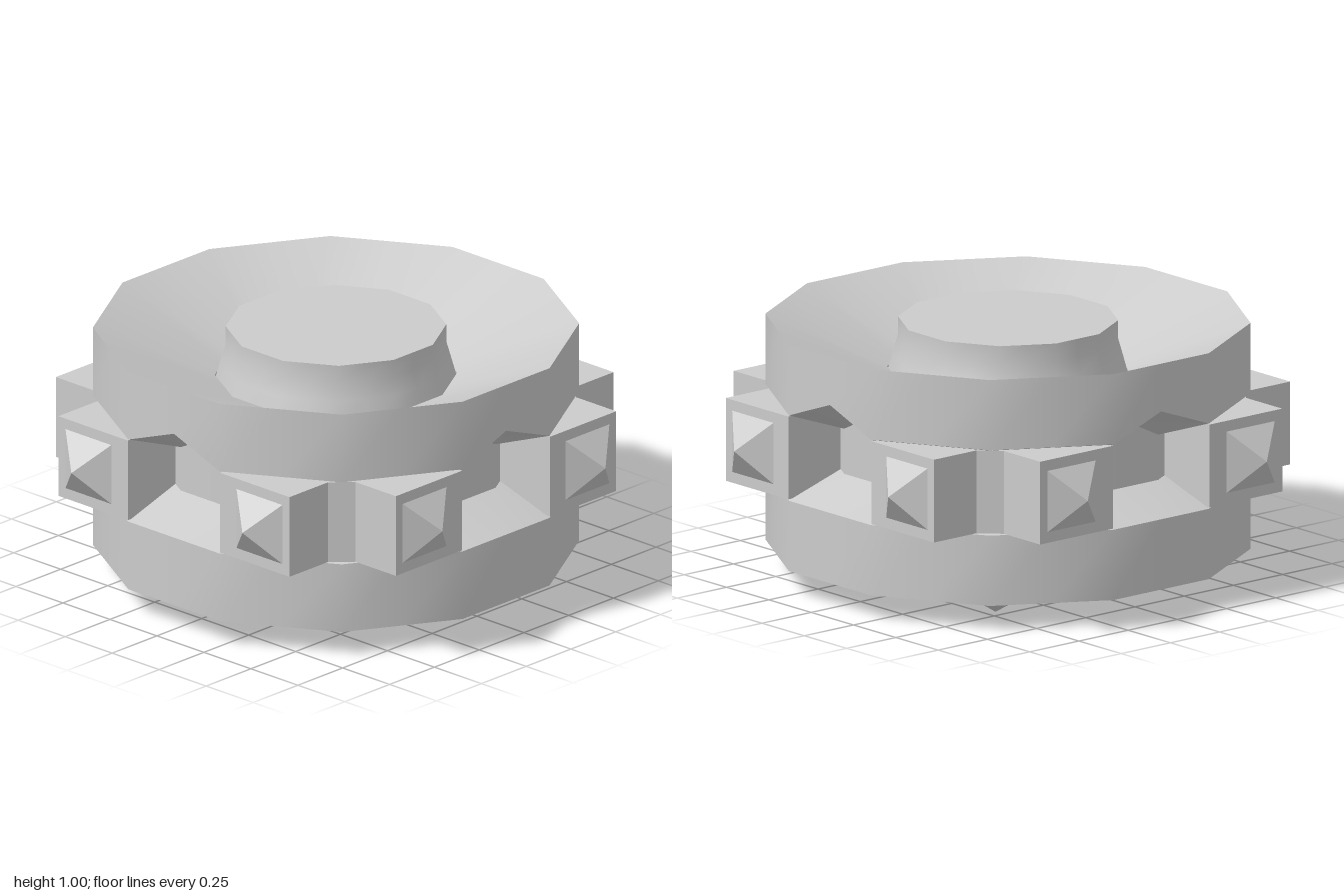
import * as THREE from 'three';
import { toCreasedNormals } from 'three/addons/utils/BufferGeometryUtils.js';

const material = new THREE.MeshStandardMaterial({ color: 0xcccccc, side: THREE.DoubleSide });
const STEP = Math.PI / 12; // 24 stations: 12 polygon corners and 12 edge middles

// Twelve-sided body swept from a profile of [radius, y, lift];
// lift raises the point at the middle of the four main sides.
function sweep(name, profile) {
  const positions = [], indices = [], n = profile.length;
  for (let i = 0; i < 24; i++) {
    const k = i % 2 ? 1 : Math.cos(STEP);
    for (const [r, y, lift = 0] of profile) {
      positions.push(Math.sin(i * STEP) * r * k, y + (i % 6 === 0 ? lift : 0), Math.cos(i * STEP) * r * k);
    }
  }
  for (let i = 0; i < 24; i++) {
    for (let j = 0; j < n - 1; j++) {
      const a = i * n + j, b = ((i + 1) % 24) * n + j;
      if (profile[j][0] > 0) indices.push(a, b, b + 1);
      if (profile[j + 1][0] > 0) indices.push(a, b + 1, a + 1);
    }
  }
  const geometry = new THREE.BufferGeometry();
  geometry.setAttribute('position', new THREE.Float32BufferAttribute(positions, 3));
  geometry.setIndex(indices);
  return part(name, toCreasedNormals(geometry, 0.6));
}

function part(name, geometry) {
  const mesh = new THREE.Mesh(geometry, material);
  mesh.name = name;
  return mesh;
}

// Square pyramid stud with its base on the xz plane, pointing up
function studGeometry() {
  const geometry = new THREE.CylinderGeometry(0, 0.122 * Math.SQRT2, 0.095, 4, 1, false, Math.PI / 4);
  geometry.translate(0, 0.0475, 0);
  return toCreasedNormals(geometry, 0.1);
}

// Pair of square blocks joined at a bevelled corner
function cornerBlockGeometry() {
  const outline = [
    [0.245, 0.6], [0.245, 0.905], [0.615, 0.905], [0.615, 0.69],
    [0.69, 0.615], [0.905, 0.615], [0.905, 0.245], [0.6, 0.245],
  ];
  const shape = new THREE.Shape(outline.map(([x, y]) => new THREE.Vector2(x, y)));
  const geometry = new THREE.ExtrudeGeometry(shape, { depth: 0.33, bevelEnabled: false });
  geometry.rotateX(-Math.PI / 2);
  geometry.rotateY(-Math.PI / 2); // into the +x +z quarter
  geometry.translate(0, 0.385, 0);
  return geometry;
}

export function createModel() {
  const model = new THREE.Group();
  model.name = 'studdedDrum';

  // Base disc with sloped shoulder, and the waist
  model.add(sweep('baseDisc', [[0, 0.1], [0.937, 0.1], [0.937, 0.38], [0.7, 0.46]]));
  model.add(sweep('waist', [[0.7, 0.46], [0.7, 0.64, 0.09]]));

  // Upper ring: notched underside, outer wall and sunken dish
  model.add(sweep('upperRing', [
    [0.7, 0.64, 0.09], [0.937, 0.72, 0.09], [0.937, 1], [0.467, 0.8],
  ]));

  // Raised hub in the dish
  model.add(sweep('hub', [[0.467, 0.78], [0.445, 0.86], [0.425, 0.93], [0.425, 1], [0, 1]]));

  // Four corners, each with two studded blocks and one foot
  const block = cornerBlockGeometry(), stud = studGeometry();
  for (let i = 0; i < 4; i++) {
    const corner = new THREE.Group();
    corner.name = 'corner';
    corner.add(part('cornerBlocks', block));

    const frontStud = part('frontStud', stud);
    frontStud.position.set(0.455, 0.55, 0.905);
    frontStud.rotation.x = Math.PI / 2;

    const sideStud = part('sideStud', stud);
    sideStud.position.set(0.905, 0.55, 0.455);
    sideStud.rotation.z = -Math.PI / 2;

    const foot = part('foot', stud);
    foot.position.set(0.455, 0.095, 0.455);
    foot.rotation.x = Math.PI;

    corner.add(frontStud, sideStud, foot);
    corner.rotation.y = i * Math.PI / 2;
    model.add(corner);
  }
  return model;
}
